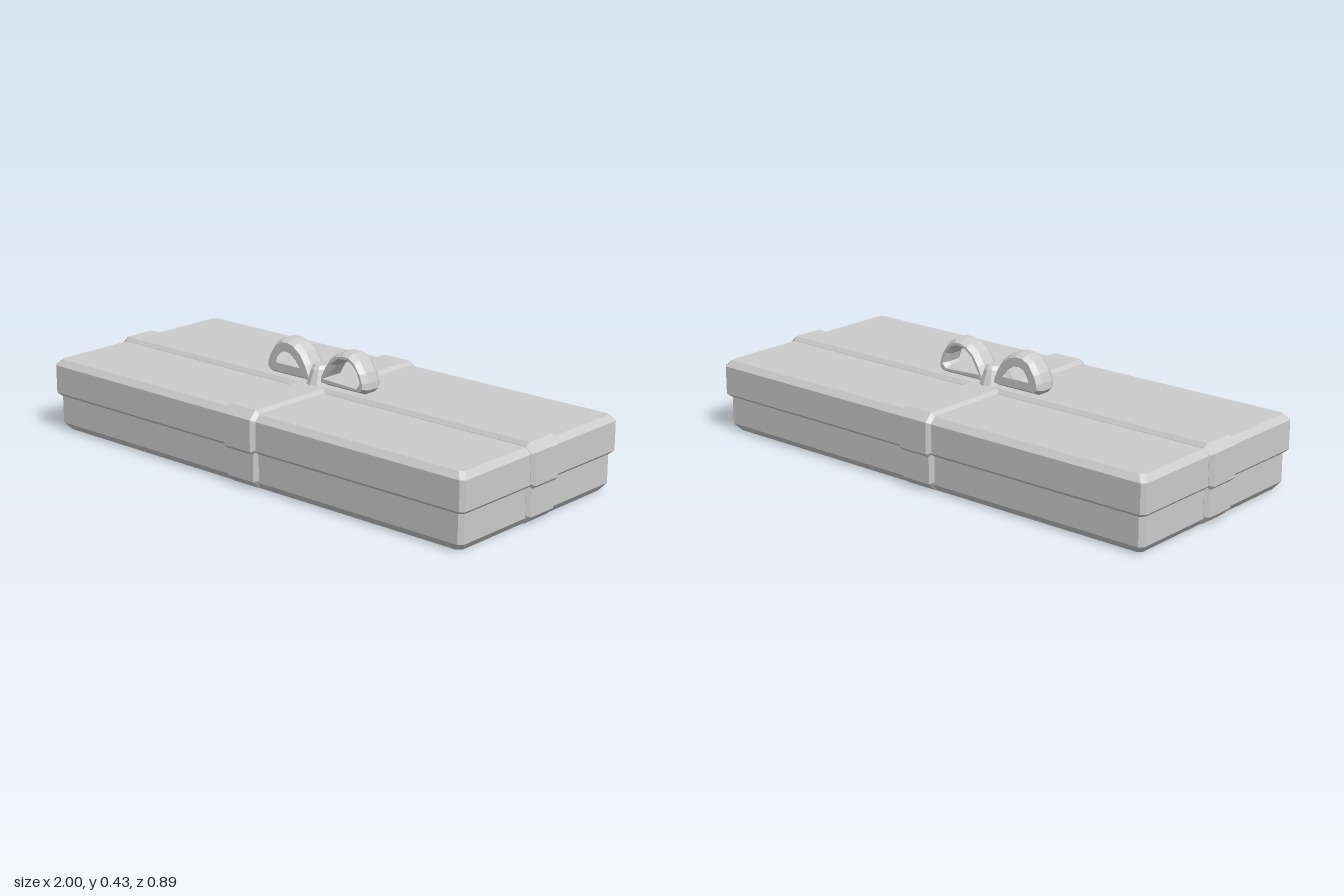
import * as THREE from 'three';

const material = new THREE.MeshStandardMaterial({ color: 0xcccccc, flatShading: true });

function add(group, name, geometry) {
  const mesh = new THREE.Mesh(geometry, material);
  mesh.name = name;
  group.add(mesh);
  return mesh;
}

// Box with cut corners, lofted through levels of [height, inset]
function chamferBox(hx, hz, cut, levels) {
  const pos = [], index = [];
  for (const [y, inset] of levels) {
    const w = hx - inset, d = hz - inset, c = cut;
    const ring = [[w, d - c], [w, c - d], [w - c, -d], [c - w, -d],
      [-w, c - d], [-w, d - c], [c - w, d], [w - c, d]];
    for (const [x, z] of ring) pos.push(x, y, z);
  }
  for (let l = 0; l < levels.length - 1; l++) {
    for (let i = 0; i < 8; i++) {
      const a = l * 8 + i, b = l * 8 + (i + 1) % 8;
      index.push(a, b, b + 8, a, b + 8, a + 8);
    }
  }
  const top = (levels.length - 1) * 8;
  for (let i = 1; i < 7; i++) {
    index.push(0, i + 1, i);
    index.push(top, top + i, top + i + 1);
  }
  const g = new THREE.BufferGeometry();
  g.setAttribute('position', new THREE.Float32BufferAttribute(pos, 3));
  g.setIndex(index);
  const flat = g.toNonIndexed();
  flat.computeVertexNormals();
  return flat;
}

const toShape = (points) => new THREE.Shape(points.map(([x, y]) => new THREE.Vector2(x, y)));

// Bevelled slab of total width `width`, centred on its own depth axis
function slab(shape, width, thickness, size) {
  const depth = width - 2 * thickness;
  return new THREE.ExtrudeGeometry(shape, {
    depth, bevelEnabled: true, bevelSegments: 1,
    bevelThickness: thickness, bevelSize: size, bevelOffset: -size,
  }).translate(0, 0, -depth / 2);
}

// Ribbon section wrapped over a box of half length h
function ribbon(h, y0, y1, cutLow, cutHigh) {
  return slab(toShape([
    [-h + cutLow, y0], [h - cutLow, y0], [h, y0 + cutLow], [h, y1 - cutHigh],
    [h - cutHigh, y1], [-h + cutHigh, y1], [-h, y1 - cutHigh], [-h, y0 + cutLow],
  ]), 0.15, 0.013, 0.014);
}

export function createModel() {
  const group = new THREE.Group();
  group.name = 'giftBox';

  // Box and overlapping lid
  add(group, 'base', chamferBox(0.97, 0.415, 0.015, [[0, 0.022], [0.028, 0], [0.16, 0]]));
  add(group, 'lid', chamferBox(0.985, 0.43, 0.015,
    [[0.135, 0.012], [0.147, 0], [0.254, 0], [0.276, 0.02]]));

  // Crossed ribbons, stepped between base and lid
  const runs = [['long', 1, 0], ['short', 0.445, Math.PI / 2]];
  for (const [name, half, turn] of runs) {
    add(group, name + 'BaseRibbon', ribbon(half - 0.015, 0.003, 0.16, 0.028, 0)).rotation.y = turn;
    add(group, name + 'LidRibbon', ribbon(half, 0.133, 0.291, 0.012, 0.03)).rotation.y = turn;
  }

  // Bow loops
  const bow = new THREE.Group();
  bow.name = 'bow';
  group.add(bow);
  const outer = [[0.02, 0.292], [0.222, 0.292], [0.24, 0.31], [0.238, 0.336], [0.226, 0.37],
    [0.198, 0.41], [0.165, 0.429], [0.13, 0.43], [0.096, 0.42], [0.06, 0.393], [0.034, 0.353], [0.02, 0.32]];
  const inner = [[0.055, 0.326], [0.195, 0.323], [0.205, 0.332], [0.193, 0.364],
    [0.174, 0.386], [0.15, 0.397], [0.118, 0.394], [0.086, 0.372]];
  for (const side of [-1, 1]) {
    const mirror = (pts) => pts.map(([x, y]) => [x * side, y]);
    const shape = toShape(mirror(outer));
    shape.holes.push(toShape(mirror(inner)));
    add(bow, side > 0 ? 'leftLoop' : 'rightLoop', slab(shape, 0.094, 0.022, 0.012));
  }

  // Knot, flared onto the ribbon
  const knot = add(bow, 'knot', new THREE.LatheGeometry(
    [[0, 0.285], [0.074, 0.285], [0.05, 0.345], [0.038, 0.358], [0, 0.36]]
      .map(([r, y]) => new THREE.Vector2(r, y)), 12));
  knot.scale.x = 0.7;

  return group;
}
